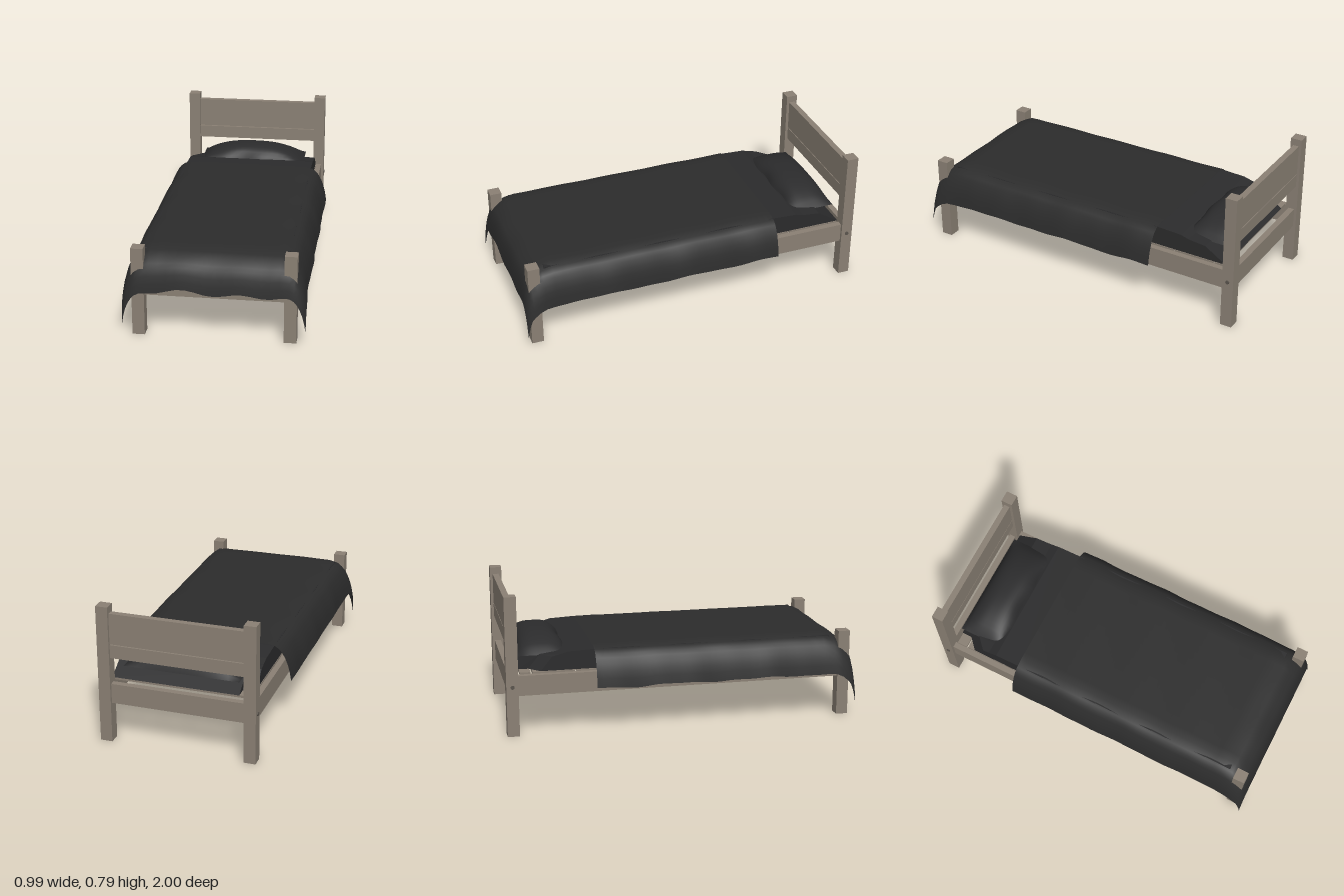
import * as THREE from 'three';

const material = (name, color, side = THREE.FrontSide) => {
  const m = new THREE.MeshStandardMaterial({ color, side });
  m.name = name;
  return m;
};

// Surface over a grid of x and z stations, facing up (or down when flipped)
function gridSurface(xs, zs, point, flip = false) {
  const pos = [], index = [], n = zs.length;
  xs.forEach((x, i) => zs.forEach((z, j) => {
    pos.push(...point(x, z));
    if (i === xs.length - 1 || j === n - 1) return;
    const a = i * n + j, b = a + 1, c = a + n, d = c + 1;
    if (flip) index.push(a, c, b, c, d, b);
    else index.push(a, b, c, c, b, d);
  }));
  const g = new THREE.BufferGeometry();
  g.setAttribute('position', new THREE.Float32BufferAttribute(pos, 3));
  g.setIndex(index);
  g.computeVertexNormals();
  return g;
}

const range = (a, b, n) => Array.from({ length: n + 1 }, (_, i) => a + (b - a) * i / n);

// Piecewise linear lookup in [position, value] pairs
function lookup(table, t) {
  if (t <= table[0][0]) return table[0][1];
  for (let i = 1; i < table.length; i++) {
    const [p, v] = table[i - 1], [q, w] = table[i];
    if (t <= q) return v + (w - v) * (t - p) / (q - p);
  }
  return table[table.length - 1][1];
}

export function createModel() {
  const bed = new THREE.Group();
  bed.name = 'bed';
  const wood = material('wood', 0x8a8074);
  const bolt = material('bolt', 0x5a544d);
  const linen = material('linen', 0x2b2b2c);
  const cloth = material('blanket cloth', 0x2c2c2c, THREE.DoubleSide);

  const add = (name, geometry, mat) => {
    const mesh = new THREE.Mesh(geometry, mat);
    mesh.name = name;
    bed.add(mesh);
    return mesh;
  };
  // Box given by its limits on each axis
  const board = (name, x0, x1, y0, y1, z0, z1) => {
    const mesh = add(name, new THREE.BoxGeometry(x1 - x0, y1 - y0, z1 - z0), wood);
    mesh.position.set((x0 + x1) / 2, (y0 + y1) / 2, (z0 + z1) / 2);
  };

  // Posts, side rails and bolts
  for (const [side, s] of [['left', 1], ['right', -1]]) {
    const span = (a, b) => (s > 0 ? [a, b] : [-b, -a]);
    board(side + 'HeadPost', ...span(0.373, 0.44), 0, 0.787, -1, -0.933);
    board(side + 'FootPost', ...span(0.373, 0.44), 0, 0.495, 0.9, 0.967);
    board(side + 'Rail', ...span(0.39, 0.425), 0.227, 0.34, -0.934, 0.901);
    const b = add(side + 'Bolt', new THREE.CylinderGeometry(0.011, 0.011, 0.008, 12), bolt);
    b.rotation.z = Math.PI / 2;
    b.position.set(s * 0.441, 0.282, -0.966);
  }

  // Cross rails and headboard planks
  board('headRail', -0.374, 0.374, 0.227, 0.34, -0.985, -0.95);
  board('footRail', -0.374, 0.374, 0.227, 0.34, 0.915, 0.95);
  board('lowerHeadboard', -0.374, 0.374, 0.492, 0.567, -0.985, -0.95);
  board('upperHeadboard', -0.374, 0.374, 0.572, 0.747, -0.985, -0.95);

  // Wide slats with narrow gaps
  const edges = [-0.925, ...range(-0.855, 0.86, 7), 0.91];
  for (let i = 0; i < edges.length - 1; i++) {
    board('slat', -0.392, 0.392, 0.337, 0.35, edges[i] + 0.005, edges[i + 1] - 0.005);
  }

  // Mattress, with its rear right corner pulled back
  const mattressPart = (name, x0, x1, backZ) => {
    const profile = [[backZ, 0.351], [Math.max(-0.8, backZ + 0.05), 0.43], [-0.7, 0.44],
      [-0.65, 0.454], [-0.5, 0.461], [0.86, 0.461], [0.89, 0.351]];
    const shape = new THREE.Shape(profile.map(p => new THREE.Vector2(...p)).reverse());
    const g = new THREE.ExtrudeGeometry(shape, { depth: x1 - x0, bevelEnabled: false });
    g.rotateY(-Math.PI / 2).translate(x1, 0, 0);
    return add(name, g, linen);
  };
  mattressPart('mattress', -0.325, 0.39, -0.925);
  const corner = mattressPart('mattressCorner', -0.39, -0.325, -0.865).geometry;
  const cp = corner.attributes.position;
  for (let i = 0; i < cp.count; i++) {
    if (cp.getX(i) < -0.35 && cp.getZ(i) < -0.75) cp.setZ(i, cp.getZ(i) + 0.06);
  }
  corner.computeVertexNormals();

  // Pillow: domed top over a flat base
  const px = range(-1, 1, 20), pz = range(-1, 1, 16);
  const dome = (u, v) => Math.pow(1 - Math.abs(u) ** 2.5, 0.8) * Math.pow(1 - Math.abs(v) ** 3, 0.7);
  const pillow = height => (u, v) => [
    u * 0.325,
    0.425 + height * dome(u, v),
    -0.783 + v * 0.138 + 0.008 * Math.sin(u * 9) * Math.max(0, v) ** 3,
  ];
  add('pillowTop', gridSurface(px, pz, pillow(0.096)), linen);
  add('pillowBase', gridSurface(px, pz, pillow(-0.004), true), linen);

  // Blanket draped over both sides and the foot; the drops add up at the corners
  const sideDrop = [[0.35, 0], [0.4, 0.012], [0.425, 0.032], [0.44, 0.052], [0.457, 0.085],
    [0.47, 0.12], [0.48, 0.16], [0.488, 0.21]];
  const footDrop = [[0.82, 0], [0.88, 0.01], [0.92, 0.032], [0.95, 0.058], [0.967, 0.078],
    [0.98, 0.115], [0.99, 0.155], [0.997, 0.2]];
  const sideX = sideDrop.map(p => p[0]);
  const xs = [...sideX.map(x => -x).reverse(), ...range(-0.3, 0.3, 12), ...sideX];
  const zs = [...range(-0.505, 0.77, 34), ...footDrop.map(p => p[0])];
  add('blanket', gridSurface(xs, zs, (x, z) => {
    const a = lookup(sideDrop, Math.abs(x)), b = lookup(footDrop, z);
    const sideWave = Math.sin(z * 13 + (x > 0 ? 1 : 2.2)) + 0.5 * Math.sin(z * 29);
    const footWave = Math.cos(x * 20 + 0.3) + 0.5 * Math.sin(x * 11);
    const ripple = 0.0015 * Math.sin(z * 17 + x * 5);
    return [
      x + Math.sign(x) * a * 0.015 * sideWave,
      0.47 + ripple - a * (1 - 0.025 * sideWave) - b * (1 + 0.06 * footWave),
      z,
    ];
  }), cloth);

  return bed;
}
